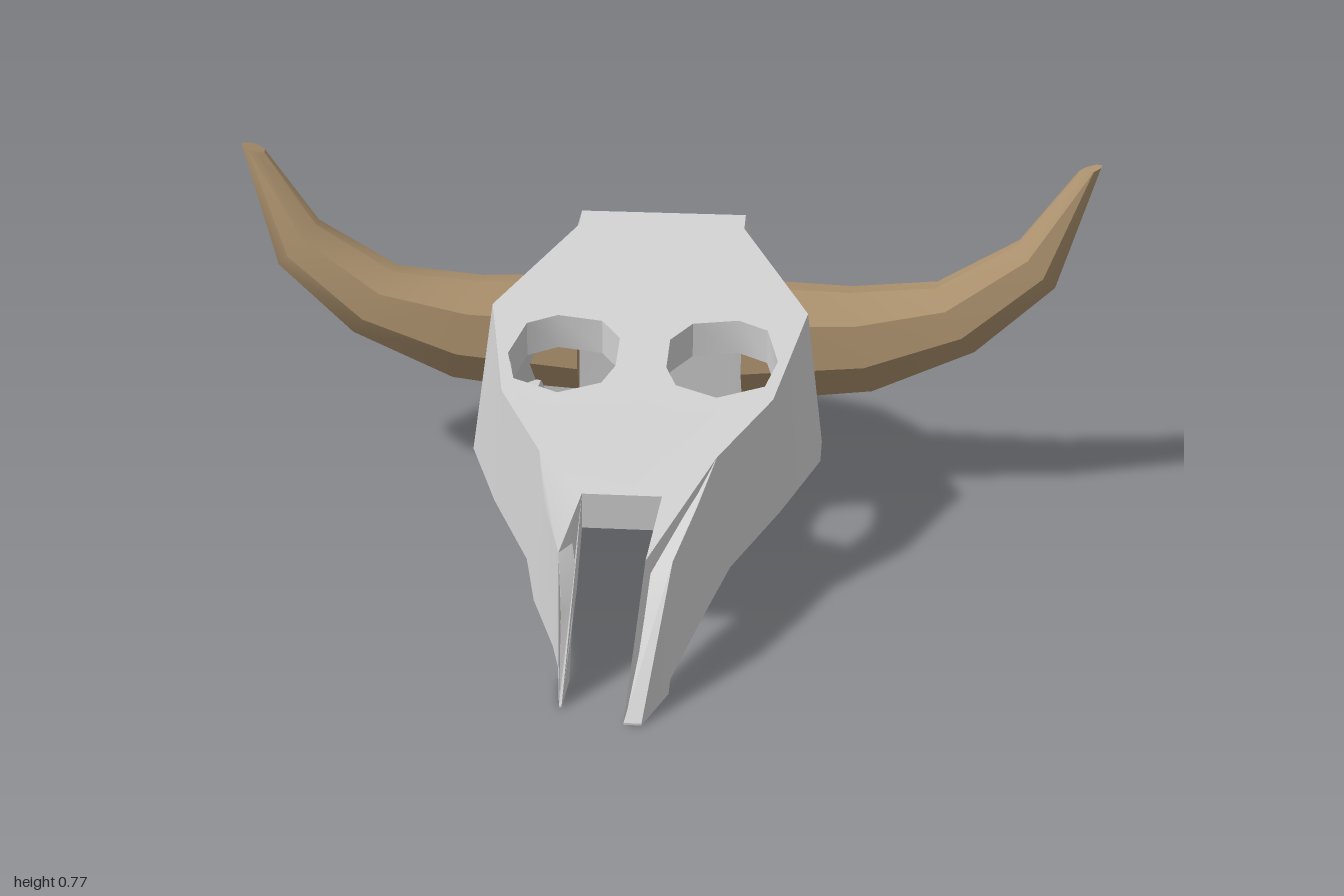
import * as THREE from 'three';
import { toCreasedNormals } from 'three/addons/utils/BufferGeometryUtils.js';

const bone = new THREE.MeshStandardMaterial({ color: 0xcfcfcf });
bone.name = 'bone';
const horn = new THREE.MeshStandardMaterial({ color: 0xa98f6c });
horn.name = 'horn';

// Closed skin through rings of [x, y, z] points, always facing outward.
function loft(rings, crease) {
  const n = rings[0].length, p = rings.flat(), idx = [];
  const id = (i, j) => i * n + (j % n);
  for (let i = 0; i < rings.length - 1; i++)
    for (let j = 0; j < n; j++)
      idx.push(id(i, j), id(i, j + 1), id(i + 1, j + 1), id(i, j), id(i + 1, j + 1), id(i + 1, j));
  for (let j = 1; j < n - 1; j++) {
    idx.push(0, j + 1, j);
    const e = (rings.length - 1) * n;
    idx.push(e, e + j, e + j + 1);
  }
  let volume = 0;
  const v = p.map((q) => new THREE.Vector3(...q));
  for (let k = 0; k < idx.length; k += 3)
    volume += v[idx[k]].dot(v[idx[k + 1]].clone().cross(v[idx[k + 2]]));
  if (volume < 0) idx.reverse();
  const g = new THREE.BufferGeometry();
  g.setAttribute('position', new THREE.Float32BufferAttribute(p.flat(), 3));
  g.setIndex(idx);
  return toCreasedNormals(g, crease);
}

// Piecewise linear lookup in [[z, y], ...]
function lerpTable(table, z) {
  for (let i = 1; i < table.length; i++) {
    const [a, ya] = table[i - 1], [b, yb] = table[i];
    if (z <= b) return ya + (yb - ya) * Math.max(0, (z - a) / (b - a));
  }
  return table[table.length - 1][1];
}

// Side walls of the face: z, upper x, lower x, lower y, wall thickness
const walls = [
  [-0.42, 0.19, 0.3, 0.24, 0.03],
  [-0.33, 0.24, 0.37, 0.235, 0.03],
  [-0.13, 0.35, 0.387, 0.22, 0.03],
  [-0.05, 0.333, 0.387, 0.205, 0.03],
  [0.15, 0.29, 0.31, 0.165, 0.03],
  [0.33, 0.185, 0.215, 0.11, 0.035],
  [0.48, 0.155, 0.18, 0.085, 0.05],
  [0.63, 0.12, 0.14, 0.045, 0.05],
  [0.695, 0.108, 0.122, 0.025, 0.045],
  [0.71, 0.105, 0.12, 0, 0.045],
  [0.85, 0.08, 0.08, 0, 0.033],
];
const topLine = [[-0.47, 0.64], [0.63, 0.25], [0.85, 0.004]];
const topY = (z) => lerpTable(topLine, z);
const lowY = (z) => lerpTable(walls.map((w) => [w[0], w[3]]), z);

// The snout prong on -x is a little shorter and ends in a finer point.
function warp([x, y, z]) {
  if (x > 0 || z < 0.5) return [x, y, z];
  const t = (z - 0.5) / 0.35;
  return [x + (-0.09 - x) * t * 0.85, y, 0.5 + 0.29 * t];
}

function facePlate() {
  const half = [[0.19, -0.47], [0.19, -0.42], [0.35, -0.13], [0.29, 0.15], [0.185, 0.33],
    [0.155, 0.48], [0.12, 0.63], [0.08, 0.85], [0.045, 0.85], [0.066, 0.63], [0.082, 0.45]];
  const eye = [[0.055, 0.06], [0.055, -0.03], [0.1, -0.085], [0.2, -0.1], [0.265, -0.07],
    [0.293, 0.03], [0.27, 0.11], [0.17, 0.15], [0.08, 0.115]];
  const v2 = (s) => ([x, z]) => new THREE.Vector2(s * x, z);
  const shape = new THREE.Shape([...half.map(v2(1)), ...half.map(v2(-1)).reverse()]);
  for (const s of [1, -1]) shape.holes.push(new THREE.Path(eye.map(v2(s))));
  const g = new THREE.ExtrudeGeometry(shape, { depth: 1, bevelEnabled: false });
  const p = g.attributes.position;
  for (let i = 0; i < p.count; i++) {
    const z = p.getY(i), top = topY(z);
    const under = Math.min(top, Math.max(top - 0.075, lowY(z)));
    p.setXYZ(i, ...warp([p.getX(i), p.getZ(i) < 0.5 ? top : under, z]));
  }
  return toCreasedNormals(g, 0.6);
}

function sideWall(s) {
  const rings = walls.map(([z, tx, bx, by, t]) => {
    const ty = topY(z), inner = Math.max(by, ty - 0.03);
    return [[tx, ty], [bx, by], [bx - t, by], [tx - t, inner]]
      .map(([x, y]) => warp([s * x, y, z]));
  });
  return loft(rings, 0.6);
}

// Braincase: half outlines from top to bottom, closed by mirroring
function braincase() {
  const sections = [
    [[0.18, 0.59, -0.38], [0.25, 0.42, -0.38], [0.32, 0.22, -0.4], [0.27, 0.02, -0.4]],
    [[0.19, 0.64, -0.47], [0.24, 0.42, -0.47], [0.32, 0.21, -0.47], [0.27, 0.02, -0.47]],
    [[0.19, 0.566, -0.58], [0.24, 0.42, -0.58], [0.305, 0.23, -0.58], [0.255, 0.03, -0.6]],
    [[0.18, 0.478, -0.71], [0.25, 0.4, -0.73], [0.29, 0.27, -0.69], [0.22, 0.055, -0.74]],
    [[0.07, 0.388, -0.845], [0.14, 0.34, -0.845], [0.14, 0.2, -0.845], [0.11, 0.07, -0.845]],
  ];
  return loft(sections.map((half) => [
    ...half,
    ...half.map(([x, y, z]) => [-x, y, z]).reverse(),
  ]), 0.75);
}

// Bony flange under each cheek, with a thin foot
function jawFlange(s) {
  return loft([[-0.42, -0.42], [-0.2, -0.24]].map(([zt, zb]) => [
    [s * 0.34, 0.25, zt], [s * 0.28, 0.02, zb], [s * 0.22, 0.02, zb], [s * 0.28, 0.25, zt]]), 0.5);
}
function jawFoot(s) {
  return loft([[-0.42, 0.02], [-0.18, 0.008]].map(([z, y]) => [
    [s * 0.285, y + 0.035, z], [s * 0.28, y, z], [s * 0.16, y, z], [s * 0.17, y + 0.03, z]]), 0.5);
}

// Eight-sided horn: x, y, z, radius across the bend, radius along z, tilt
function hornGeometry(s) {
  const path = [
    [0.19, 0.328, -0.493, 0.146, 0.152, 0],
    [0.465, 0.348, -0.472, 0.128, 0.128, 0.25],
    [0.68, 0.415, -0.455, 0.093, 0.108, 0.59],
    [0.86, 0.545, -0.465, 0.07, 0.08, 0.75],
    [0.971, 0.757, -0.518, 0.029, 0.03, 1.9],
  ];
  const rings = path.map(([x, y, z, r, rz, tilt]) =>
    Array.from({ length: 8 }, (_, k) => {
      const t = ((k + 0.3) / 8) * Math.PI * 2, n = Math.cos(t) * r;
      return [s * (x - Math.sin(tilt) * n), y + Math.cos(tilt) * n, z + Math.sin(t) * rz];
    }));
  return loft(rings, 0.55);
}

export function createModel() {
  const model = new THREE.Group();
  model.name = 'hornedSkull';
  const add = (name, geometry, material) => {
    const mesh = new THREE.Mesh(geometry, material);
    mesh.name = name;
    model.add(mesh);
  };
  add('facePlate', facePlate(), bone);
  add('braincase', braincase(), bone);
  for (const [side, s] of [['left', 1], ['right', -1]]) {
    add(side + 'FaceWall', sideWall(s), bone);
    add(side + 'JawFlange', jawFlange(s), bone);
    add(side + 'JawFoot', jawFoot(s), bone);
    add(side + 'Horn', hornGeometry(s), horn);
  }
  return model;
}
